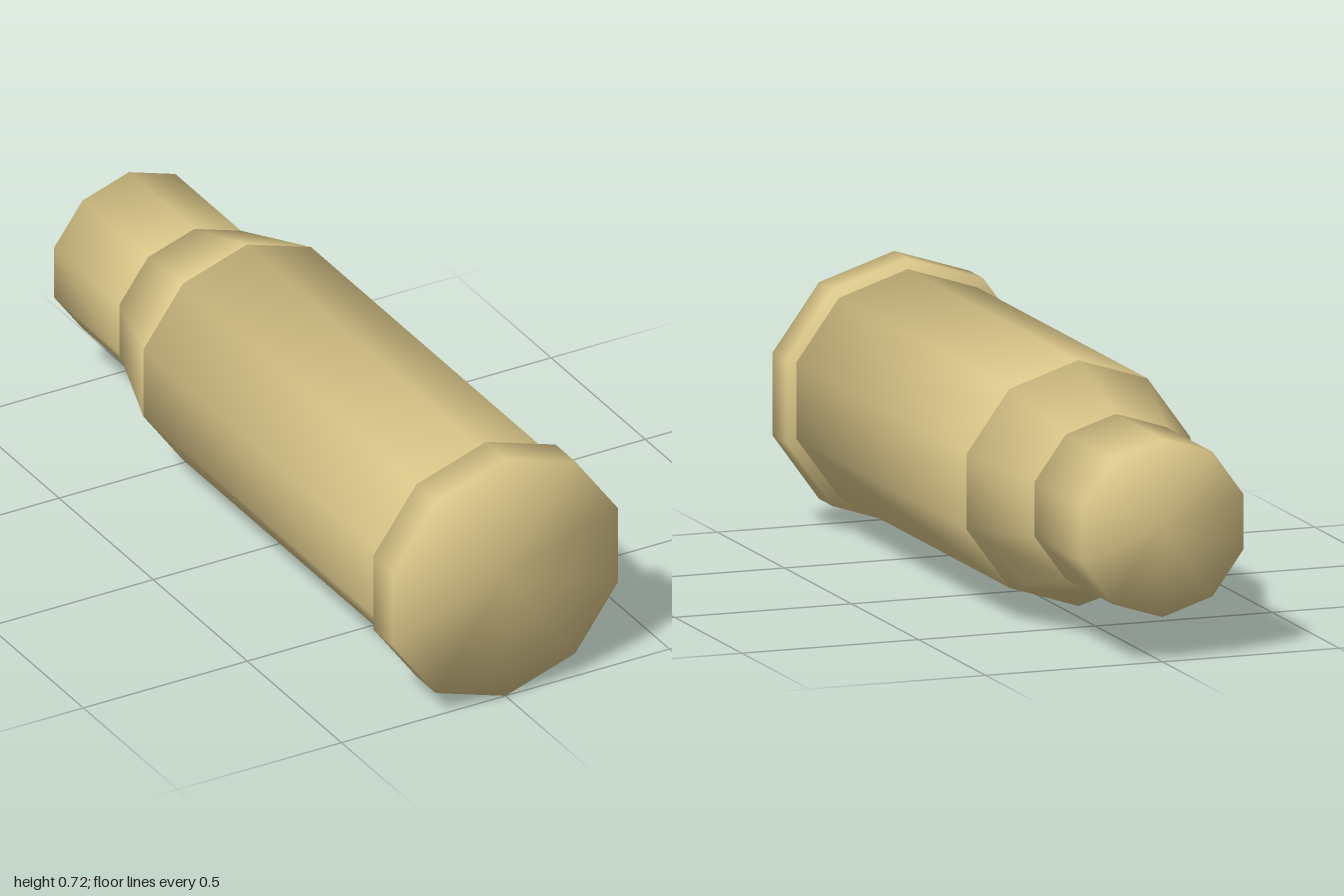
import * as THREE from 'three';
import { mergeVertices } from 'three/addons/utils/BufferGeometryUtils.js';

const SIDES = 10;
const AXIS_Y = 0.3615;

// Closed ten-sided section along z, softly shaded around its end edges
function section(frontRadius, backRadius, frontZ, backZ) {
  const length = frontZ - backZ;
  let geo = new THREE.CylinderGeometry(frontRadius, backRadius, length, SIDES);
  geo.rotateX(Math.PI / 2);
  geo.deleteAttribute('normal');
  geo.deleteAttribute('uv');
  geo = mergeVertices(geo, 1e-4);

  // Corner normals blend one cap with the two neighbouring sides
  const pos = geo.attributes.position;
  const normals = new Float32Array(pos.count * 3);
  const slope = Math.atan2(backRadius - frontRadius, length);
  const n = new THREE.Vector3();
  for (let i = 0; i < pos.count; i++) {
    const x = pos.getX(i), y = pos.getY(i);
    const r = Math.hypot(x, y);
    const cap = Math.sign(pos.getZ(i));
    if (r < 1e-4) n.set(0, 0, cap);
    else {
      const side = 1.19 * Math.cos(slope);
      n.set(side * x / r, side * y / r, cap + 1.25 * Math.sin(slope)).normalize();
    }
    n.toArray(normals, i * 3);
  }
  geo.setAttribute('normal', new THREE.BufferAttribute(normals, 3));
  geo.translate(0, AXIS_Y, (frontZ + backZ) / 2);
  return geo;
}

export function createModel() {
  const group = new THREE.Group();
  group.name = 'cartridgeCase';
  const brass = new THREE.MeshStandardMaterial({ color: 0xdcc88a });
  brass.name = 'brass';

  // name, front radius, back radius, front z, back z
  const parts = [
    ['rim', 0.3615, 0.3615, 1, 0.897],
    ['body', 0.332, 0.332, 0.897, -0.373],
    ['shoulder', 0.332, 0.241, -0.373, -0.652],
    ['neck', 0.241, 0.241, -0.652, -1],
  ];
  for (const [name, ...dims] of parts) {
    const mesh = new THREE.Mesh(section(...dims), brass);
    mesh.name = name;
    group.add(mesh);
  }
  return group;
}
